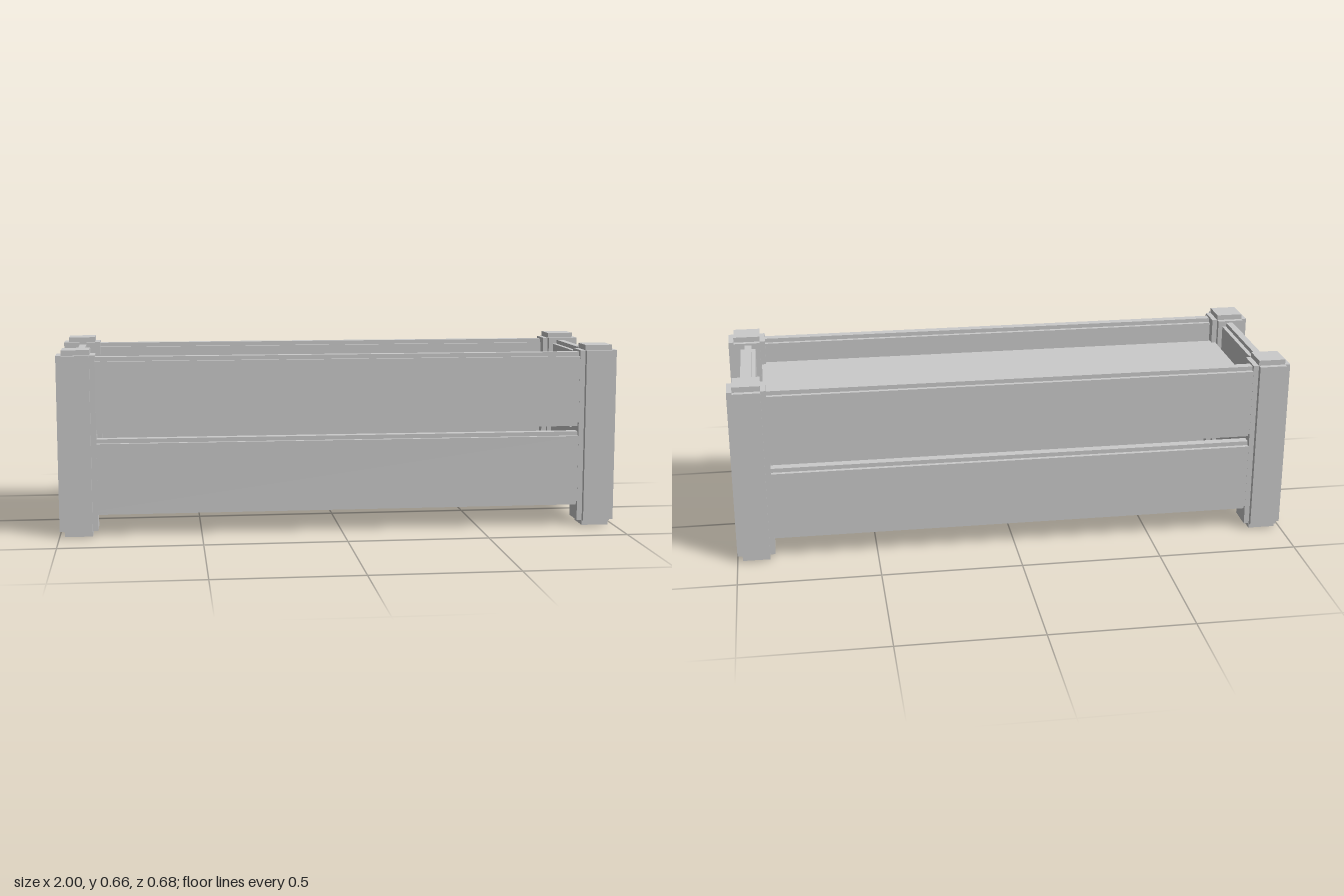
import * as THREE from 'three';

const material = new THREE.MeshStandardMaterial({ color: 0xcccccc, flatShading: true });

// Block whose edges are all rebated by a square step: three crossing boxes
function steppedBlock(name, w, h, d, step) {
  const block = new THREE.Group();
  block.name = name;
  const s = step * 2;
  const sizes = [[w, h - s, d - s], [w - s, h, d - s], [w - s, h - s, d]];
  sizes.forEach((size, i) => {
    const mesh = new THREE.Mesh(new THREE.BoxGeometry(...size), material);
    mesh.name = name + ['Length', 'Height', 'Depth'][i];
    block.add(mesh);
  });
  return block;
}

export function createModel() {
  const planter = new THREE.Group();
  planter.name = 'planterBox';

  // Corner posts
  for (const x of [-1, 1]) {
    for (const z of [-1, 1]) {
      const post = steppedBlock('cornerPost', 0.135, 0.66, 0.135, 0.019);
      post.position.set(x * 0.9325, 0.33, z * 0.27);
      planter.add(post);
    }
  }

  // Two rows of planks, their ends housed in the posts
  for (const y of [0.209, 0.499]) {
    for (const side of [-1, 1]) {
      const long = steppedBlock(side > 0 ? 'frontPlank' : 'backPlank', 1.79, 0.27, 0.062, 0.015);
      long.position.set(0, y, side * 0.287);
      const end = steppedBlock(side > 0 ? 'leftPlank' : 'rightPlank', 0.055, 0.27, 0.46, 0.015);
      end.position.set(side * 0.928, y, 0);
      planter.add(long, end);
    }
  }

  // Soil surface, just below the rim
  const soilMaterial = material.clone();
  soilMaterial.side = THREE.DoubleSide;
  const soil = new THREE.Mesh(new THREE.PlaneGeometry(1.76, 0.486), soilMaterial);
  soil.name = 'soil';
  soil.rotation.x = -Math.PI / 2;
  soil.position.y = 0.55;
  planter.add(soil);

  return planter;
}
